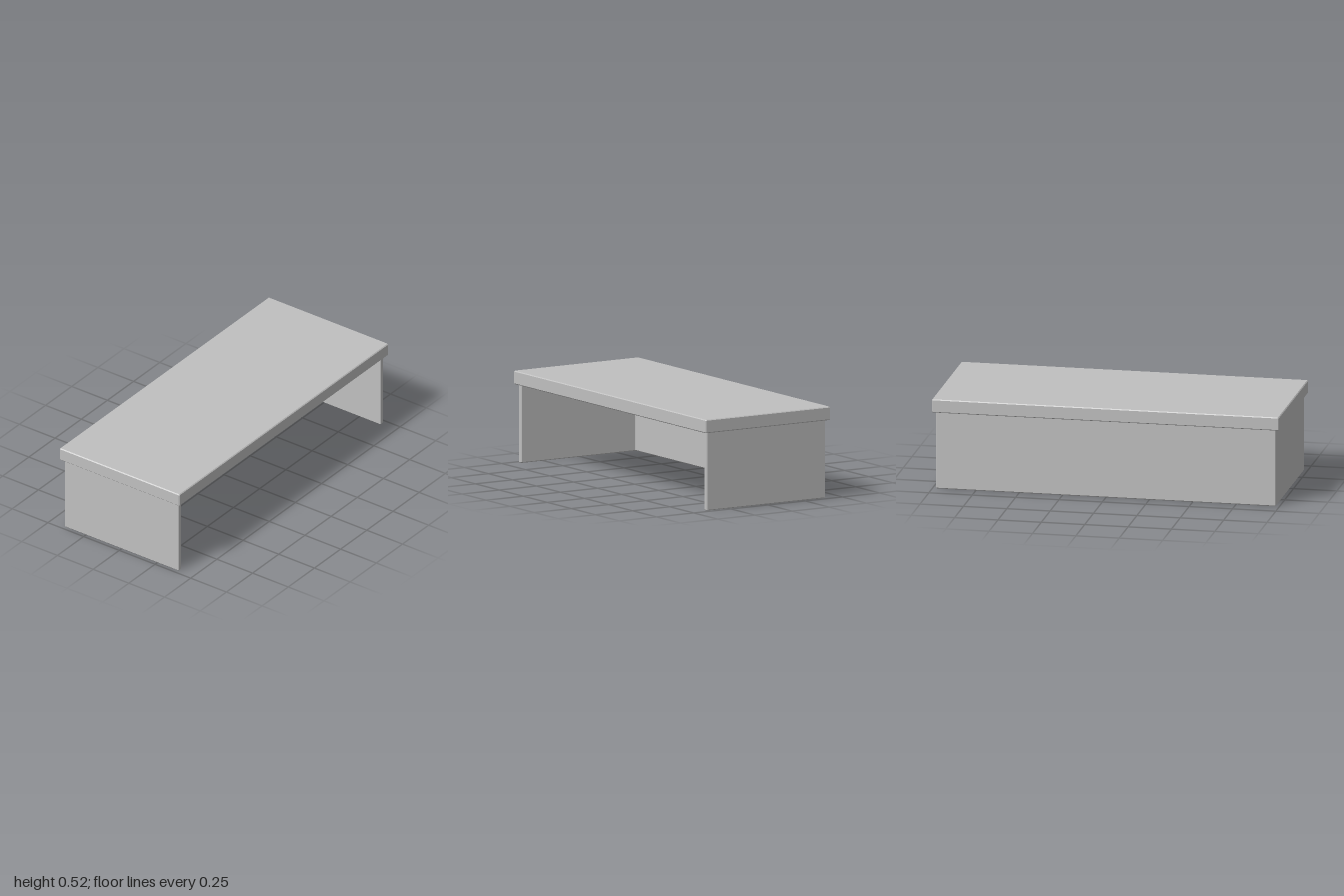
import * as THREE from 'three';

const BEVEL = 0.005;

// Outline in plan view; every corner is cut by a small chamfer
function chamferedShape(points) {
  const out = [];
  points.forEach((p, i) => {
    const here = new THREE.Vector2(...p);
    for (const step of [-1, 1]) {
      const next = new THREE.Vector2(...points[(i + step + points.length) % points.length]);
      out.push(here.clone().add(next.sub(here).setLength(BEVEL)));
    }
  });
  return new THREE.Shape(out);
}

// Board raised from a plan outline (x, -z) between two heights, with bevelled rims
function board(name, points, bottom, top, material) {
  const geometry = new THREE.ExtrudeGeometry(chamferedShape(points), {
    depth: top - bottom - 2 * BEVEL,
    bevelEnabled: true,
    bevelThickness: BEVEL,
    bevelSize: BEVEL,
    bevelOffset: -BEVEL,
    bevelSegments: 1,
  });
  geometry.rotateX(-Math.PI / 2);
  geometry.translate(0, bottom + BEVEL, 0);
  const mesh = new THREE.Mesh(geometry, material);
  mesh.name = name;
  return mesh;
}

export function createModel() {
  const group = new THREE.Group();
  group.name = 'desk';
  const grey = new THREE.MeshStandardMaterial({ color: 0xc0c0c0 });
  grey.name = 'plain grey';

  // Two side panels joined by a back panel, open at the front
  const x = 0.98, z = 0.4, t = 0.03;
  group.add(board('sideAndBackPanels', [
    [-x, -z], [-x + t, -z], [-x + t, z - t], [x - t, z - t],
    [x - t, -z], [x, -z], [x, z], [-x, z],
  ], 0, 0.45, grey));

  // Overhanging top
  group.add(board('deskTop', [
    [-1, -0.42], [1, -0.42], [1, 0.42], [-1, 0.42],
  ], 0.448, 0.525, grey));

  return group;
}
